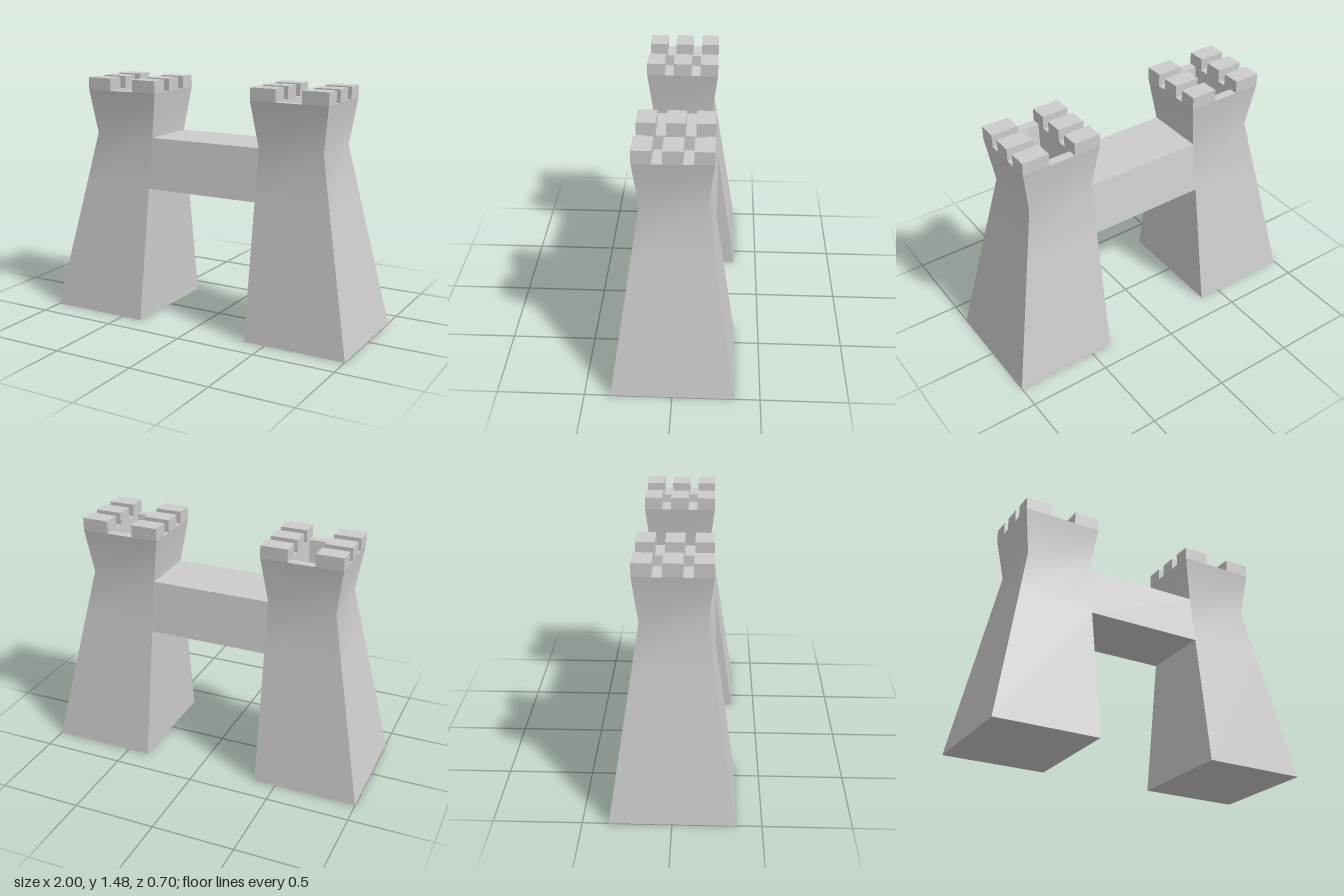
import * as THREE from 'three';
import { toCreasedNormals } from 'three/addons/utils/BufferGeometryUtils.js';

const material = new THREE.MeshStandardMaterial({ color: 0xcccccc });

// Skin a stack of rectangles [y, xMin, xMax, zHalf], closing the first and last
function loft(rings) {
  const positions = [], index = [];
  for (const [y, x0, x1, z] of rings) {
    positions.push(x0, y, z, x1, y, z, x1, y, -z, x0, y, -z);
  }
  for (let r = 0; r < rings.length - 1; r++) {
    for (let i = 0; i < 4; i++) {
      const a = r * 4 + i, b = r * 4 + (i + 1) % 4;
      index.push(a, b, b + 4, a, b + 4, a + 4);
    }
  }
  const t = (rings.length - 1) * 4;
  index.push(0, 2, 1, 0, 3, 2, t, t + 1, t + 2, t, t + 2, t + 3);
  const geometry = new THREE.BufferGeometry();
  geometry.setAttribute('position', new THREE.Float32BufferAttribute(positions, 3));
  geometry.setIndex(index);
  return toCreasedNormals(geometry, Math.PI / 6);
}

function addMesh(parent, name, geometry) {
  const mesh = new THREE.Mesh(geometry, material);
  mesh.name = name;
  parent.add(mesh);
  return mesh;
}

function createTower(name) {
  const tower = new THREE.Group();
  tower.name = name;

  // Tapered body, flared head, flat rim and sunken well
  addMesh(tower, 'towerBody', loft([
    [0, 0.365, 1, 0.352],
    [0.815, 0.365, 0.833, 0.23],
    [1.125, 0.365, 0.77, 0.183],
    [1.4, 0.323, 0.808, 0.217],
    [1.4, 0.485, 0.646, 0.165],
    [1.2, 0.495, 0.636, 0.137],
  ]));

  // Three battlements along each side of the well
  for (const [x0, x1] of [[0.323, 0.485], [0.646, 0.808]]) {
    for (const [z0, z1] of [[-0.217, -0.11], [-0.054, 0.054], [0.11, 0.217]]) {
      const battlement = addMesh(tower, 'battlement', new THREE.BoxGeometry(x1 - x0, 0.076, z1 - z0));
      battlement.position.set((x0 + x1) / 2, 1.438, (z0 + z1) / 2);
    }
  }
  return tower;
}

export function createModel() {
  const model = new THREE.Group();
  model.name = 'twinTowerGate';

  const leftTower = createTower('leftTower');
  const rightTower = createTower('rightTower');
  rightTower.rotation.y = Math.PI;
  model.add(leftTower, rightTower);

  // Bridge whose faces continue the slope of the towers
  addMesh(model, 'bridge', loft([
    [0.815, -0.365, 0.365, 0.23],
    [1.125, -0.365, 0.365, 0.183],
  ]));
  return model;
}
